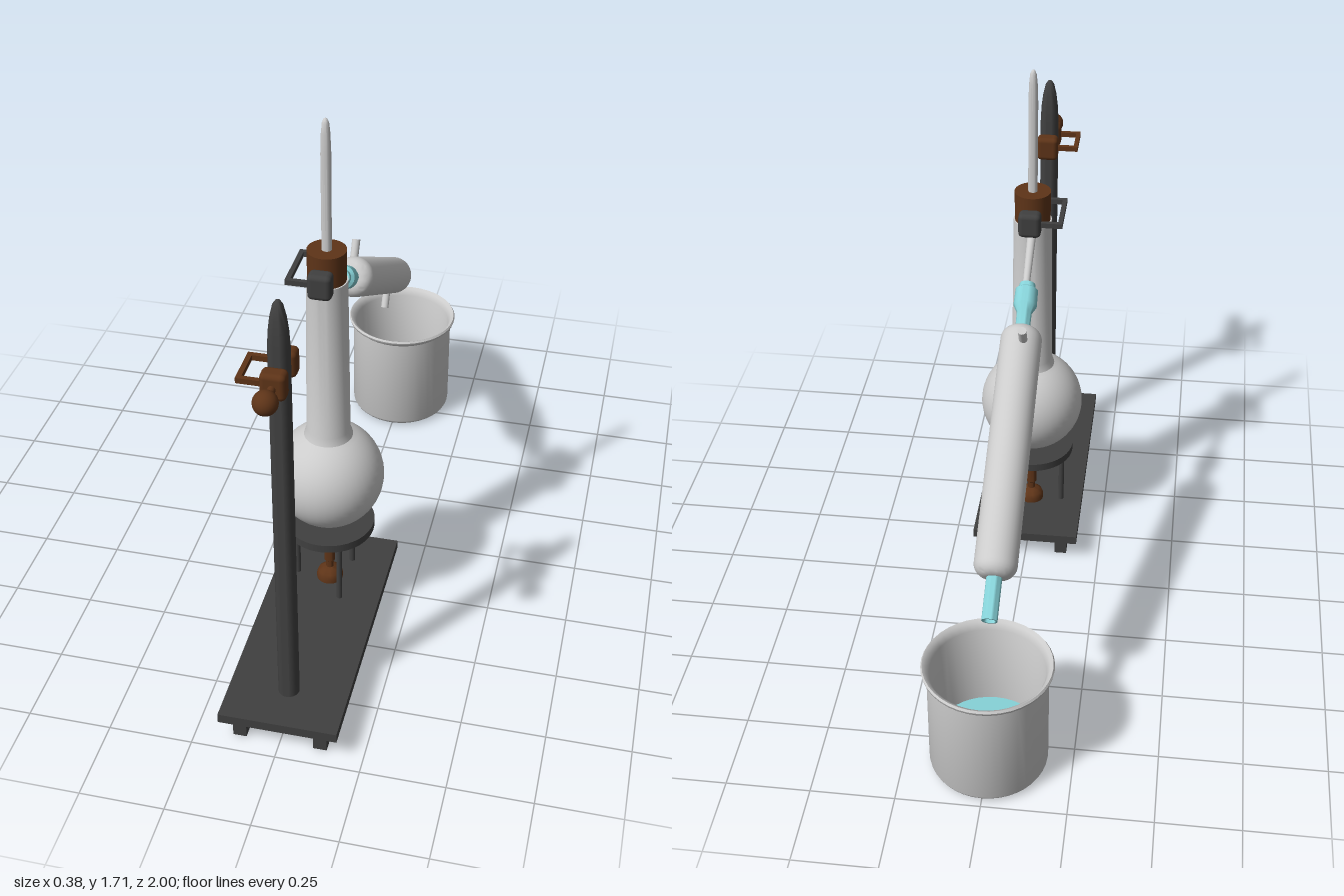
import * as THREE from 'three';
import { toCreasedNormals } from 'three/addons/utils/BufferGeometryUtils.js';
import { RoundedBoxGeometry } from 'three/addons/geometries/RoundedBoxGeometry.js';

const material = (color, side = THREE.FrontSide) => new THREE.MeshStandardMaterial({ color, side });
const glass = material(0xcccccc, THREE.DoubleSide);
const iron = material(0x404040);
const brown = material(0x5e3418);
const cyan = material(0x86d2d8, THREE.DoubleSide);

const FLASK_Z = 0.32, POLE_Z = 0.828, BEAKER_Z = -0.81;

function add(parent, name, geometry, mat, x = 0, y = 0, z = 0) {
  const mesh = new THREE.Mesh(geometry, mat);
  mesh.name = name;
  mesh.position.set(x, y, z);
  parent.add(mesh);
  return mesh;
}

// Revolved [radius, height] profile, smooth except at sharp edges
function turned(profile, segments = 40) {
  const points = profile.map(([r, y]) => new THREE.Vector2(r, y));
  return toCreasedNormals(new THREE.LatheGeometry(points, segments), 0.7);
}

// Profile points along a circular arc, angles in degrees from the horizontal
function arc(cx, cy, r, from, to, steps) {
  return Array.from({ length: steps + 1 }, (_, i) => {
    const a = THREE.MathUtils.degToRad(from + (to - from) * i / steps);
    return [Math.max(0, cx + r * Math.cos(a)), cy + r * Math.sin(a)];
  });
}

// Two jaws joined by a square bracket on the model's right
function clamp(name, mat, z, spread, jawDepth) {
  const group = new THREE.Group();
  group.name = name;
  group.position.set(0, 1.23, z);
  for (const s of [-1, 1]) {
    add(group, 'jaw', new RoundedBoxGeometry(0.07, 0.08, jawDepth, 2, 0.015), mat, 0, 0, s * spread);
    add(group, 'bracketArm', new THREE.BoxGeometry(0.08, 0.016, 0.014), mat, -0.06, 0, s * spread);
  }
  add(group, 'bracketBar', new THREE.BoxGeometry(0.014, 0.016, spread * 2 + 0.014), mat, -0.094, 0, 0);
  return group;
}

function buildStand() {
  const stand = new THREE.Group();
  stand.name = 'stand';
  add(stand, 'basePlate', new THREE.BoxGeometry(0.352, 0.03, 0.86), iron, 0, 0.085, 0.54);
  for (const x of [-0.12, 0.12]) for (const z of [0.16, 0.925])
    add(stand, 'foot', new THREE.BoxGeometry(0.04, 0.072, 0.035), iron, x, 0.036, z);
  add(stand, 'pole', turned([[0.031, 0.1], [0.03, 1.31], [0.027, 1.36], [0.022, 1.4], [0.014, 1.435], [0.006, 1.447], [0, 1.45]], 20),
    iron, 0, 0, POLE_Z);

  // Pole clamp with its thumb screw
  const poleClamp = clamp('poleClamp', brown, POLE_Z, 0.054, 0.05);
  const stem = add(poleClamp, 'screwStem', new THREE.CylinderGeometry(0.011, 0.011, 0.06, 16), brown, 0, 0, 0.1);
  stem.rotation.x = Math.PI / 2;
  add(poleClamp, 'screwKnob', new THREE.SphereGeometry(0.034, 24, 16), brown, 0, 0, 0.137);
  stand.add(poleClamp, clamp('flaskClamp', iron, FLASK_Z - 0.003, 0.08, 0.05));

  // Three-legged support and burner
  add(stand, 'supportDisc', new THREE.CylinderGeometry(0.14, 0.14, 0.026, 40), iron, 0, 0.328, FLASK_Z);
  for (let i = 0; i < 3; i++) {
    const a = Math.PI + i * Math.PI * 2 / 3;
    add(stand, 'supportLeg', new THREE.CylinderGeometry(0.009, 0.009, 0.22, 12), iron,
      0.104 * Math.cos(a), 0.21, FLASK_Z + 0.104 * Math.sin(a));
  }
  add(stand, 'burner', turned([[0.041, 0.1], [0.041, 0.115], [0.036, 0.128], [0.024, 0.137], [0.012, 0.143],
    [0.012, 0.165], [0.017, 0.17], [0.017, 0.245], [0, 0.245]], 24), brown, 0, 0, FLASK_Z);
  return stand;
}

function buildFlask() {
  const flask = new THREE.Group();
  flask.name = 'flask';
  flask.position.z = FLASK_Z;
  add(flask, 'flaskBody', turned([...arc(0, 0.515, 0.168, -90, 64, 28), [0.066, 0.69], [0.06, 1.205], [0.052, 1.205]]), glass);
  add(flask, 'stopper', new THREE.CylinderGeometry(0.057, 0.056, 0.1, 32), brown, 0, 1.252, 0);
  add(flask, 'thermometer', turned([[0.014, 0.6], [0.015, 1.6], [0.013, 1.66], [0.01, 1.69], [0.005, 1.702], [0, 1.705]], 16), glass);
  return flask;
}

// Built along local +y, which is tilted down toward the beaker
function buildCondenser() {
  const condenser = new THREE.Group();
  condenser.name = 'condenser';
  condenser.position.set(-0.007, 1.17, 0.257);
  condenser.rotation.x = -2.099;
  add(condenser, 'sideArm', new THREE.CylinderGeometry(0.01, 0.014, 0.25, 16), glass, 0.004, 0.105, 0);
  add(condenser, 'joint', turned([[0, 0.165], [0.024, 0.165], [0.026, 0.18], [0.035, 0.187], [0.036, 0.24],
    [0.023, 0.265], [0.022, 0.34]], 24), cyan);
  add(condenser, 'jacket', turned([[0, 0.318], ...arc(0.023, 0.358, 0.04, -90, 0, 6),
    ...arc(0.023, 1.072, 0.04, 0, 90, 6), [0, 1.112]], 32), glass);
  add(condenser, 'outletTube', turned([[0.023, 1.1], [0.023, 1.238], [0.018, 1.238], [0.018, 1.1]], 24), cyan);
  for (const [s, side] of [[0.385, 1], [1.04, -1]]) {
    const nozzle = add(condenser, 'waterNozzle', new THREE.CylinderGeometry(0.013, 0.013, 0.09, 16), glass, -0.012, s, side * 0.07);
    nozzle.rotation.x = Math.PI / 2;
  }
  return condenser;
}

function buildBeaker() {
  const beaker = new THREE.Group();
  beaker.name = 'beaker';
  beaker.position.z = BEAKER_Z;
  add(beaker, 'beakerWall', turned([[0, 0], ...arc(0.146, 0.03, 0.03, -90, 0, 5), [0.176, 0.355], [0.19, 0.368],
    [0.192, 0.376], [0.188, 0.382], [0.178, 0.376], [0.168, 0.355], [0.168, 0.03], [0.14, 0.012], [0, 0.012]]), glass);
  add(beaker, 'liquid', new THREE.CylinderGeometry(0.167, 0.15, 0.06, 40), cyan, 0, 0.05, 0);
  return beaker;
}

export function createModel() {
  const model = new THREE.Group();
  model.name = 'distillationApparatus';
  model.add(buildStand(), buildFlask(), buildCondenser(), buildBeaker());
  return model;
}
